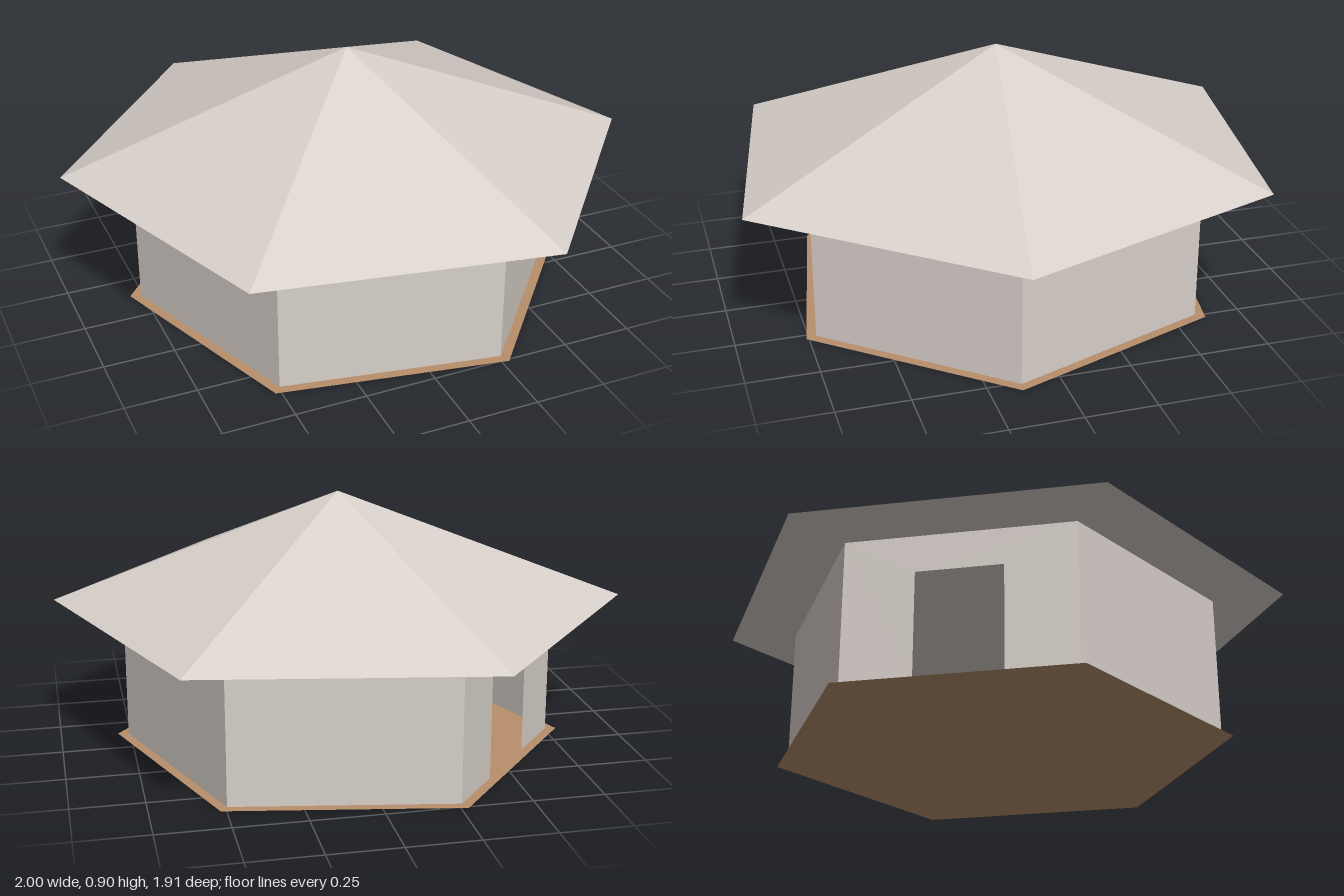
import * as THREE from 'three';

const TURN = THREE.MathUtils.degToRad(20); // first corner, measured from +z towards +x
const SIDES = 6;
const WALL_R = 0.769, WALL_H = 0.51;
const FLOOR_R = 0.808;
const ROOF_R = 1.015, EAVE_Y = 0.515, ROOF_H = 0.39;
const DOOR_W = 0.292, DOOR_H = 0.38;
const DOOR_SIDE = 3;

// Flat wall panel, optionally notched by a doorway that reaches the ground
function panelShape(hasDoor) {
  const w = WALL_R / 2, d = DOOR_W / 2; // a hexagon's side equals its radius
  const points = [[-w, 0]];
  if (hasDoor) points.push([-d, 0], [-d, DOOR_H], [d, DOOR_H], [d, 0]);
  points.push([w, 0], [w, WALL_H], [-w, WALL_H]);
  return new THREE.Shape(points.map(([x, y]) => new THREE.Vector2(x, y)));
}

export function createModel() {
  const model = new THREE.Group();
  model.name = 'hexagonalHut';

  const plaster = new THREE.MeshStandardMaterial({ color: 0xd8d0ca, side: THREE.DoubleSide, flatShading: true });
  plaster.name = 'pale plaster';
  const wood = new THREE.MeshStandardMaterial({ color: 0xb98f6c, side: THREE.DoubleSide });
  wood.name = 'wood floor';

  // Thin floor sheet, slightly wider than the walls
  const floorGeometry = new THREE.CircleGeometry(FLOOR_R, SIDES, TURN - Math.PI / 2);
  floorGeometry.rotateX(-Math.PI / 2);
  const floor = new THREE.Mesh(floorGeometry, wood);
  floor.name = 'floor';
  model.add(floor);

  // Six walls, one of them with an open doorway
  const walls = new THREE.Group();
  walls.name = 'walls';
  const apothem = WALL_R * Math.cos(Math.PI / SIDES);
  for (let i = 0; i < SIDES; i++) {
    const geometry = new THREE.ShapeGeometry(panelShape(i === DOOR_SIDE));
    geometry.translate(0, 0, apothem);
    const wall = new THREE.Mesh(geometry, plaster);
    wall.rotation.y = TURN + ((i + 0.5) * 2 * Math.PI) / SIDES;
    wall.name = i === DOOR_SIDE ? 'doorwayWall' : 'wall';
    walls.add(wall);
  }
  model.add(walls);

  // Open pyramid roof with wide eaves
  const roof = new THREE.Mesh(new THREE.ConeGeometry(ROOF_R, ROOF_H, SIDES, 1, true, TURN), plaster);
  roof.position.y = EAVE_Y + ROOF_H / 2;
  roof.name = 'roof';
  model.add(roof);

  return model;
}
